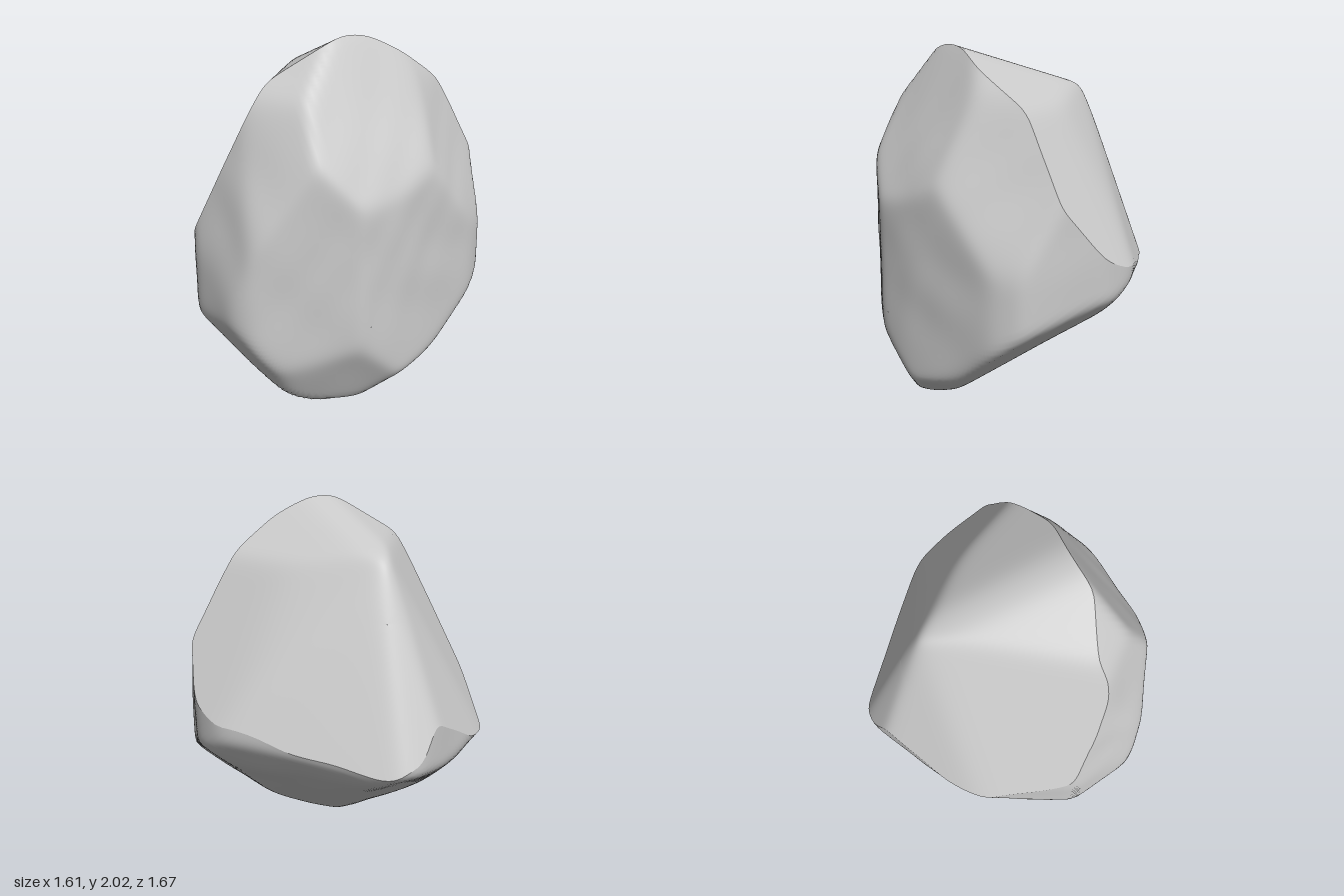
import * as THREE from 'three';

// Facet planes of the weathered outer skin: direction x, y, z, then distance from the core
const SKIN = [
  // upright sides
  [[1, 0, 0], 0.8], [[0, 0, 1], 0.83], [[0, 0, -1], 0.83], [[-0.13, 0, -0.99], 0.8],
  [[-0.87, 0, 0.5], 0.775], [[-0.5, 0, 0.87], 0.82], [[0.45, 0, 0.89], 0.705],
  [[0.85, 0, 0.53], 0.68], [[0.93, 0, 0.37], 0.67], [[0.83, 0, -0.56], 0.865],
  [[0.45, 0, -0.89], 0.9], [[-0.75, 0, -0.66], 0.92], [[-0.97, 0, -0.2], 0.786],
  // leaning in towards the peak
  [[0.947, 0.32, 0], 0.73], [[0.8, 0.6, 0], 0.875], [[0, 1, 0], 1.03],
  [[0, 0.31, 0.95], 0.765], [[0, 0.66, 0.75], 0.895], [[0.74, 0.43, 0.52], 0.7],
  [[-0.4, 0.2, 0.9], 0.76],
  // underside
  [[0.9, -0.44, 0], 0.945], [[0.6, -0.8, 0], 1.01], [[0, -1, 0], 1.0],
  [[-0.57, -0.82, 0], 0.74], [[-0.75, -0.66, 0], 0.775], [[0, -0.5, 0.87], 1.03],
  [[0, -0.84, -0.55], 0.69], [[0, -0.6, -0.8], 0.775], [[-0.605, -0.767, -0.21], 0.77],
  [[-0.354, -0.866, -0.354], 0.72], [[0.514, -0.436, 0.738], 0.91],
  [[0.35, -0.75, -0.56], 0.79], [[-0.378, -0.494, 0.782], 0.965],
  [[0.778, -0.52, -0.354], 1.0],
];

// Planes of the smooth broken face
const BREAK = [
  [[-0.85, 0.45, 0.25], 0.59], [[-0.93, 0.37, 0], 0.645], // left slope
  [[0.2, 0.5, -0.84], 0.715], [[0, 0.49, -0.87], 0.69], [[-0.195, 0.336, -0.917], 0.672], // back slope
  [[-0.66, 0.37, -0.65], 0.765], // ridge down to the back corner
  [[-0.21, 0.955, -0.21], 0.87], [[-0.5, 0.85, 0.15], 0.805], [[0.1, 0.85, -0.5], 0.81], // crest
];

const CORE_HEIGHT = 1;

// Distance to a set of planes along a direction, with softly rounded edges
function reach(planes, dir, power) {
  let sum = 0;
  for (const [n, d] of planes) {
    const t = (n[0] * dir.x + n[1] * dir.y + n[2] * dir.z) / d;
    if (t > 0) sum += t ** power;
  }
  return sum > 0 ? 1.01 * sum ** (-1 / power) : 10;
}

// Outer skin with faint lumps
function skinRadius(d) {
  const lumps = Math.sin(7 * d.x + 3 * d.y + 1) * Math.sin(6 * d.y - 5 * d.z) * 0.004
    + Math.sin(13 * d.x - 6 * d.z) * Math.sin(11 * d.y + 8 * d.z + 2) * 0.002;
  return reach(SKIN, d, 60) + lumps;
}

const breakRadius = (d) => reach(BREAK, d, 50);

// Polar frame around the middle of the broken face
const axis = new THREE.Vector3(-0.55, 0.55, -0.6).normalize();
const sideA = new THREE.Vector3(0, 1, 0).cross(axis).normalize();
const sideB = axis.clone().cross(sideA);

function direction(polar, turn) {
  return axis.clone().multiplyScalar(Math.cos(polar))
    .addScaledVector(sideA, Math.sin(polar) * Math.cos(turn))
    .addScaledVector(sideB, Math.sin(polar) * Math.sin(turn));
}

// Polar angle of the sharp rim, where skin and broken face meet
function rimAngle(turn) {
  const inside = (a) => {
    const d = direction(a, turn);
    return breakRadius(d) < skinRadius(d);
  };
  let low = 0.5;
  while (low < 2.4 && inside(low + 0.04)) low += 0.04;
  let high = low + 0.04;
  for (let i = 0; i < 20; i++) {
    const mid = (low + high) / 2;
    if (inside(mid)) low = mid; else high = mid;
  }
  return low;
}

// Closed rings of points between two polar angles
function patch(rings, turns, range, radius) {
  const points = [], index = [];
  for (let i = 0; i <= rings; i++) {
    for (let k = 0; k < turns; k++) {
      const [from, to] = range(k);
      const d = direction(from + (to - from) * (i / rings), (k / turns) * Math.PI * 2);
      d.multiplyScalar(radius(d));
      points.push(d.x, d.y + CORE_HEIGHT, d.z);
      if (i === rings) continue;
      const a = i * turns + k, b = i * turns + (k + 1) % turns;
      index.push(a, a + turns, b + turns, a, b + turns, b);
    }
  }
  const geometry = new THREE.BufferGeometry();
  geometry.setAttribute('position', new THREE.Float32BufferAttribute(points, 3));
  geometry.setIndex(index);
  geometry.computeVertexNormals();
  return geometry;
}

export function createModel() {
  const turns = 160;
  const rim = Array.from({ length: turns }, (_, k) => rimAngle((k / turns) * Math.PI * 2));
  const parts = {
    brokenFace: patch(50, turns, (k) => [0.002, rim[k]], breakRadius),
    outerSkin: patch(90, turns, (k) => [rim[k], Math.PI - 0.002], skinRadius),
  };

  const rock = new THREE.Group();
  rock.name = 'rock';
  const material = new THREE.MeshStandardMaterial({ color: 0xcccccc, roughness: 0.9 });
  for (const [name, geometry] of Object.entries(parts)) {
    const mesh = new THREE.Mesh(geometry, material);
    mesh.name = name;
    rock.add(mesh);
  }
  return rock;
}
